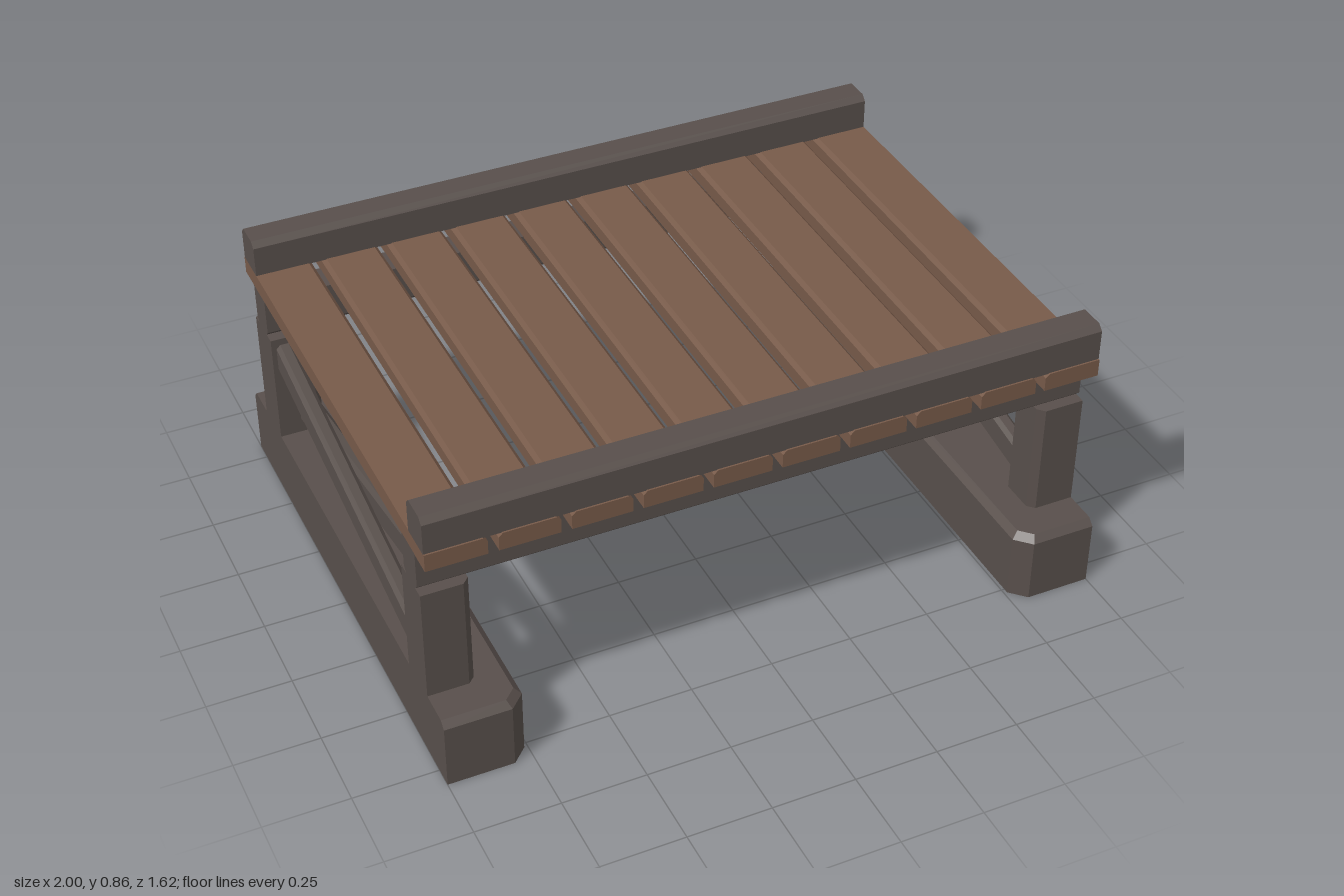
import * as THREE from 'three';

const darkWood = new THREE.MeshStandardMaterial({ name: 'dark timber', color: 0x584f4b });
const plankWood = new THREE.MeshStandardMaterial({ name: 'brown plank', color: 0x775a49 });

// Rectangle outline with its own chamfer per corner: lower-left, lower-right, upper-right, upper-left
function chamferedRect(x0, y0, x1, y1, [ll, lr, ur, ul]) {
  const pts = [
    [x0, y0 + ll], [x0 + ll, y0], [x1 - lr, y0], [x1, y0 + lr],
    [x1, y1 - ur], [x1 - ur, y1], [x0 + ul, y1], [x0, y1 - ul],
  ].map(([x, y]) => new THREE.Vector2(x, y));
  return pts.filter((p, i) => p.distanceTo(pts[(i + 1) % pts.length]) > 1e-5);
}

// Straight bar along z with the given cross-section, centred on z = 0
function bar(points, length) {
  const geo = new THREE.ExtrudeGeometry(new THREE.Shape(points), { depth: length, bevelEnabled: false });
  return geo.translate(0, 0, -length / 2);
}

function addMesh(parent, name, geo, material) {
  const mesh = new THREE.Mesh(geo, material);
  mesh.name = name;
  parent.add(mesh);
  return mesh;
}

// Foot beam: footprint walls, then a bevel up to a smaller flat top; the outer face stays flush
function sillGeometry() {
  const ring = (inset, y) => {
    const a = 0.76 + inset, e = 0.81 - inset, c = 0.045 - inset * 0.5;
    return [[1, e], [1, -e], [a + c, -e], [a, -e + c], [a, e - c], [a + c, e]]
      .map(([x, z]) => [x, y, z]);
  };
  const rings = [ring(0, 0), ring(0, 0.2), ring(0.02, 0.22)];
  const pos = [];
  const n = rings[0].length;
  for (let r = 0; r < 2; r++) {
    for (let i = 0; i < n; i++) {
      const j = (i + 1) % n;
      const [a, b, c, d] = [rings[r][i], rings[r][j], rings[r + 1][j], rings[r + 1][i]];
      pos.push(...a, ...b, ...c, ...a, ...c, ...d);
    }
  }
  for (let i = 1; i < n - 1; i++) {
    pos.push(...rings[2][0], ...rings[2][i], ...rings[2][i + 1]);
    pos.push(...rings[0][0], ...rings[0][i + 1], ...rings[0][i]);
  }
  const geo = new THREE.BufferGeometry();
  geo.setAttribute('position', new THREE.Float32BufferAttribute(pos, 3));
  geo.computeVertexNormals();
  return geo;
}

// One trestle at the +x end: sill, two posts and crossed braces
function makeTrestle() {
  const trestle = new THREE.Group();
  trestle.name = 'trestle';
  addMesh(trestle, 'sill', sillGeometry(), darkWood);

  for (const s of [1, -1]) {
    const post = bar(chamferedRect(0.86, -0.07, 1, 0.07, [0.02, 0, 0, 0.02]), 0.36);
    post.rotateX(-Math.PI / 2);
    addMesh(trestle, 'post', post, darkWood).position.set(0, 0.392, s * 0.62);

    const c = 0.012;
    const brace = bar(chamferedRect(-0.025, -0.047, 0.025, 0.047, [c, c, c, c]), 1.15);
    const mesh = addMesh(trestle, 'crossBrace', brace, darkWood);
    mesh.position.set(s > 0 ? 0.96 : 0.908, 0.403, 0);
    mesh.rotation.x = -s * Math.atan(0.2 / 1.1);
  }
  return trestle;
}

export function createModel() {
  const model = new THREE.Group();
  model.name = 'woodenPlatform';

  // Trestles: the second is the first turned half round
  const near = makeTrestle();
  const far = makeTrestle();
  far.rotation.y = Math.PI;
  model.add(near, far);

  // Long beams under the deck and curb rails on top of it
  for (const s of [1, -1]) {
    const beam = bar(chamferedRect(-0.048, 0.572, 0.048, 0.7, [0.015, 0.015, 0, 0]), 2);
    beam.rotateY(-Math.PI / 2);
    addMesh(model, 'supportBeam', beam, darkWood).position.z = s * 0.621;

    const rail = bar(chamferedRect(-0.054, 0.75, 0.054, 0.862, [0, 0, 0.017, 0.017]), 2);
    rail.rotateY(-Math.PI / 2);
    addMesh(model, 'curbRail', rail, darkWood).position.z = s * 0.686;
  }

  // Deck planks, bevelled along the gaps only
  const count = 10, pitch = 0.203, half = 0.0865;
  for (let i = 0; i < count; i++) {
    const x = (i - (count - 1) / 2) * pitch;
    const left = i === 0 ? 0 : 0.012;
    const right = i === count - 1 ? 0 : 0.012;
    const plank = bar(chamferedRect(x - half, 0.698, x + half, 0.752, [0, 0, right, left]), 1.49);
    addMesh(model, 'deckPlank', plank, plankWood);
  }
  return model;
}
